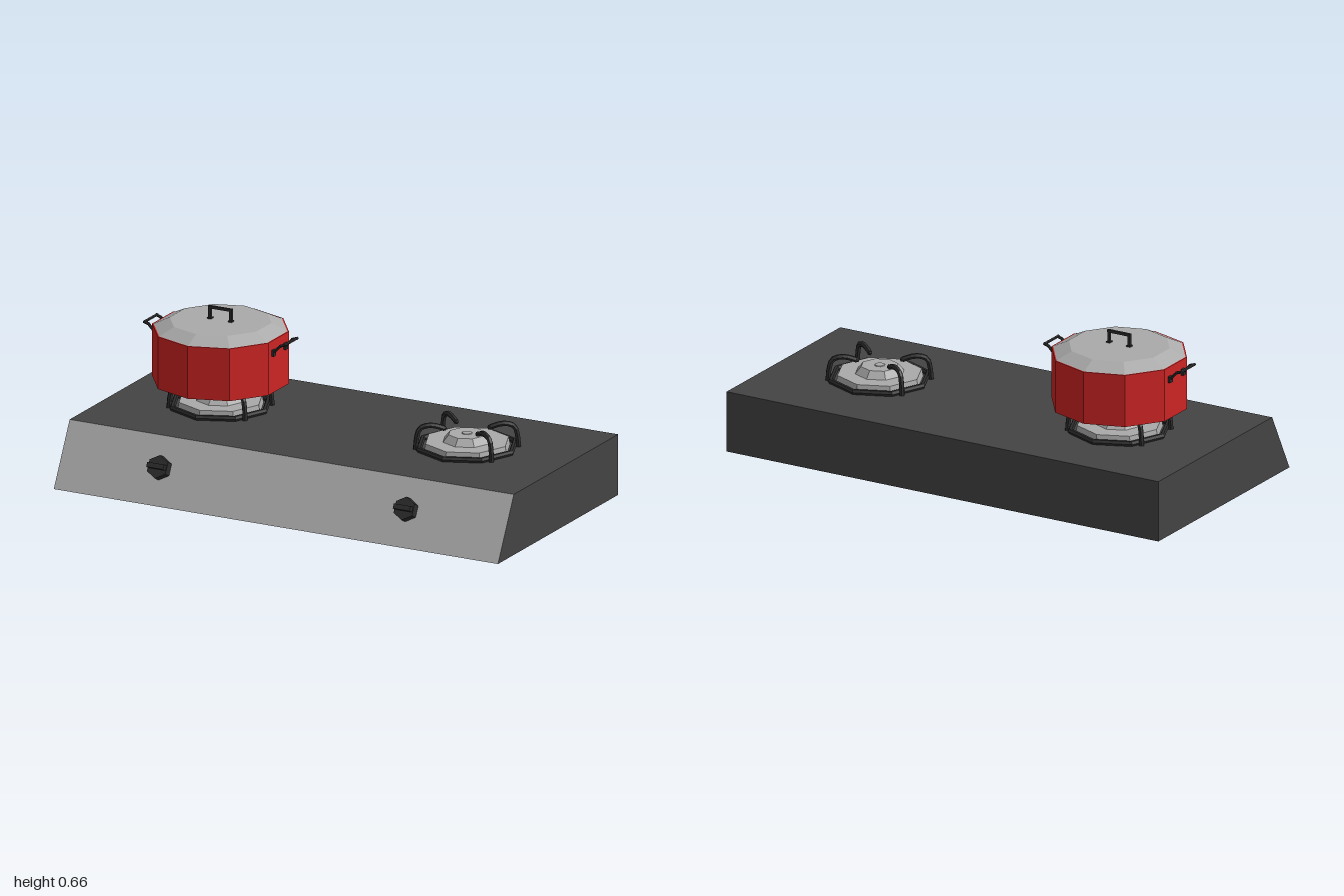
import * as THREE from 'three';

const mat = (name, color) => {
  const m = new THREE.MeshStandardMaterial({ color });
  m.name = name;
  return m;
};

// Faceted copy of a geometry
function flat(geo) {
  const g = geo.index ? geo.toNonIndexed() : geo;
  g.computeVertexNormals();
  return g;
}

function add(parent, name, geo, material, x = 0, y = 0, z = 0) {
  const mesh = new THREE.Mesh(geo, material);
  mesh.name = name;
  mesh.position.set(x, y, z);
  parent.add(mesh);
  return mesh;
}

function group(parent, name, x = 0, y = 0, z = 0) {
  const g = new THREE.Group();
  g.name = name;
  g.position.set(x, y, z);
  parent.add(g);
  return g;
}

// Faceted cylinder or cone slice between two heights
const drum = (rTop, rBottom, y0, y1, sides) =>
  flat(new THREE.CylinderGeometry(rTop, rBottom, y1 - y0, sides).translate(0, (y0 + y1) / 2, 0));

export function createModel() {
  const model = new THREE.Group();
  model.name = 'gasStove';
  const bodyDark = mat('body dark grey', 0x434343);
  const panelGrey = mat('panel light grey', 0xb4b4b4);
  const steel = mat('steel grey', 0xaaaaaa);
  const black = mat('iron black', 0x2d2d2d);
  const red = mat('enamel red', 0xcc2323);

  const H = 0.252, FRONT = 0.5, SLOPE = 0.132, BX = 0.555, BZ = -0.065;

  // Body: a box with its top front edge pulled back
  const box = new THREE.BoxGeometry(2, H, 1).translate(0, H / 2, 0);
  const p = box.attributes.position;
  for (let i = 0; i < p.count; i++) {
    if (p.getZ(i) > 0 && p.getY(i) > 0.1) p.setZ(i, FRONT - SLOPE);
  }
  box.computeVertexNormals();
  add(model, 'body', box, [bodyDark, bodyDark, bodyDark, bodyDark, panelGrey, bodyDark]);

  // Curved pan support, drawn outward along +x
  const armPath = new THREE.CatmullRomCurve3([
    [0.205, 0.0], [0.2, 0.05], [0.188, 0.085], [0.16, 0.097], [0.125, 0.095], [0.09, 0.083],
  ].map(([r, y]) => new THREE.Vector3(r, y, 0)));
  const armGeo = flat(new THREE.TubeGeometry(armPath, 10, 0.011, 6));
  const tipGeo = flat(new THREE.IcosahedronGeometry(0.011, 0));

  for (const side of [-1, 1]) {
    // Burner
    const burner = group(model, side < 0 ? 'rightBurner' : 'leftBurner', side * BX, H, BZ);
    const ring = new THREE.TorusGeometry(0.199, 0.0115, 6, 8).rotateX(Math.PI / 2);
    add(burner, 'baseRing', flat(ring), black, 0, 0.01, 0);
    add(burner, 'burnerPlate', drum(0.172, 0.178, 0, 0.032, 8), steel);
    add(burner, 'burnerCap', drum(0.076, 0.1, 0.032, 0.061, 8), steel);
    add(burner, 'capButton', drum(0.02, 0.022, 0.061, 0.064, 8), steel);
    const a = 0.58;
    for (const angle of [a, -a, Math.PI - a, Math.PI + a]) {
      const arm = group(burner, 'panSupport');
      arm.rotation.y = angle;
      add(arm, 'supportArm', armGeo, black);
      add(arm, 'supportTip', tipGeo, black, 0.09, 0.083, 0);
    }

    // Knob, its axis square to the sloped panel
    const y = 0.135;
    const knob = group(model, side < 0 ? 'rightKnob' : 'leftKnob', side * BX, y, FRONT - y * SLOPE / H);
    knob.rotation.x = Math.PI / 2 - Math.atan2(SLOPE, H);
    add(knob, 'knobBase', drum(0.048, 0.048, 0, 0.034, 6), black);
    add(knob, 'knobGrip', new THREE.BoxGeometry(0.076, 0.022, 0.02), black, 0, 0.045, 0);
  }

  // Pot with lid
  const pot = group(model, 'pot', -BX, 0, BZ);
  add(pot, 'potBody', drum(0.275, 0.275, 0.362, 0.58, 10), red);
  add(pot, 'lid', drum(0.205, 0.269, 0.58, 0.611, 10), steel);

  // Lid handle
  const lidHandle = group(pot, 'lidHandle', 0, 0.611, 0);
  add(lidHandle, 'lidBar', new THREE.BoxGeometry(0.106, 0.011, 0.011), black, 0, 0.048, 0);
  for (const s of [-1, 1]) {
    add(lidHandle, 'lidPost', new THREE.BoxGeometry(0.011, 0.044, 0.011), black, s * 0.047, 0.022, 0);
    add(lidHandle, 'lidFoot', new THREE.BoxGeometry(0.018, 0.006, 0.02), black, s * 0.047, 0.002, 0);
  }

  // Side handles: bent rods joined by an outer bar
  const rod = (a, b) => {
    const path = new THREE.LineCurve3(new THREE.Vector3(...a), new THREE.Vector3(...b));
    return flat(new THREE.TubeGeometry(path, 1, 0.006, 6));
  };
  for (const s of [-1, 1]) {
    const handle = group(pot, s < 0 ? 'rightPotHandle' : 'leftPotHandle');
    handle.rotation.y = s < 0 ? Math.PI : 0;
    for (const z of [-0.05, 0.05]) {
      add(handle, 'handleFoot', new THREE.BoxGeometry(0.012, 0.026, 0.02), black, 0.266, 0.53, z);
      add(handle, 'handleRod', rod([0.262, 0.527, z], [0.297, 0.563, z]), black);
      add(handle, 'handleEnd', rod([0.294, 0.562, z], [0.319, 0.57, z]), black);
    }
    add(handle, 'handleBar', rod([0.315, 0.569, -0.056], [0.315, 0.569, 0.056]), black);
  }
  return model;
}
